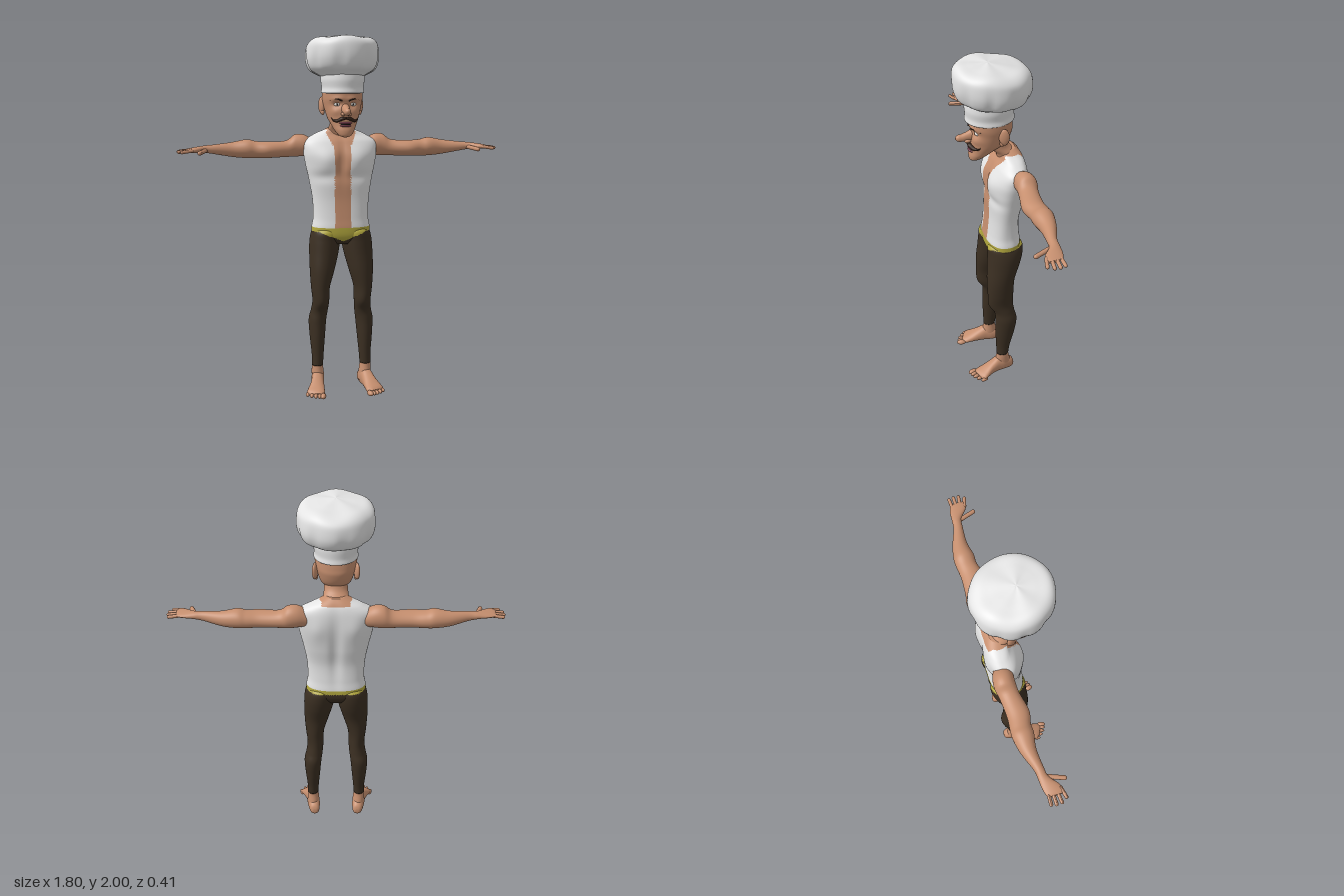
import * as THREE from 'three';

const mat = (name, color) => {
  const m = new THREE.MeshStandardMaterial({ color });
  m.name = name;
  return m;
};
const bump = (d, w) => Math.exp(-(d * d) / (w * w));

// Ring axes: along, u and v, ordered so that faces point outward
const AXES = { x: ['x', 'z', 'y'], y: ['y', 'x', 'z'], z: ['z', 'y', 'x'] };

// Smooth loft through sections [along, centreU, centreV, radiusU, radiusV];
// shape(p, angle) moves points, paint(centroid) picks a material index
function loft(axis, sections, { segs = 32, steps = 6, pow = 2, shape, paint } = {}) {
  const [A, U, V] = AXES[axis];
  const n = sections.length, rings = [];
  const at = (i) => sections[Math.min(n - 1, Math.max(0, i))];
  for (let i = 0; i < n - 1; i++)
    for (let s = 0; s < steps + (i === n - 2 ? 1 : 0); s++) {
      const t = s / steps;
      rings.push(at(i).map((b, k) => {
        const a = at(i - 1)[k], c = at(i + 1)[k], d = at(i + 2)[k];
        return b + 0.5 * t * (c - a + t * (2 * a - 5 * b + 4 * c - d + t * (3 * (b - c) + d - a)));
      }));
    }
  const pts = [];
  const se = (v) => Math.sign(v) * Math.abs(v) ** (2 / pow);
  for (const [t, cu, cv, ru, rv] of rings)
    for (let j = 0; j < segs; j++) {
      const a = (j / segs) * Math.PI * 2, p = new THREE.Vector3();
      p[A] = t; p[U] = cu + ru * se(Math.cos(a)); p[V] = cv + rv * se(Math.sin(a));
      if (shape) shape(p, a);
      pts.push(p);
    }
  const last = (rings.length - 1) * segs, tris = [];
  for (let i = 0; i < rings.length - 1; i++)
    for (let j = 0; j < segs; j++) {
      const a = i * segs + j, b = i * segs + (j + 1) % segs;
      tris.push([a, a + segs, b], [b, a + segs, b + segs]);
    }
  // End caps
  for (const start of [0, last]) {
    const c = new THREE.Vector3();
    for (let j = 0; j < segs; j++) c.addScaledVector(pts[start + j], 1 / segs);
    const k = pts.push(c) - 1;
    for (let j = 0; j < segs; j++) {
      const a = start + j, b = start + (j + 1) % segs;
      tris.push(start ? [a, k, b] : [a, b, k]);
    }
  }
  const g = new THREE.BufferGeometry().setFromPoints(pts);
  if (!paint) g.setIndex(tris.flat());
  else {
    const buckets = [];
    for (const t of tris) {
      const c = new THREE.Vector3();
      t.forEach((i) => c.addScaledVector(pts[i], 1 / 3));
      (buckets[paint(c)] ??= []).push(...t);
    }
    let from = 0;
    buckets.forEach((b, i) => { g.addGroup(from, b.length, i); from += b.length; });
    g.setIndex(buckets.flat());
  }
  g.computeVertexNormals();
  return g;
}

function ball(x, y, z, rx, ry, rz, turnY = 0) {
  return new THREE.SphereGeometry(1, 20, 14).scale(rx, ry, rz).rotateY(turnY).translate(x, y, z);
}

// Rounded rod between two points
function rod(a, b, r) {
  const p = new THREE.Vector3(...a), q = new THREE.Vector3(...b), d = q.clone().sub(p);
  const turn = new THREE.Quaternion().setFromUnitVectors(new THREE.Vector3(0, 1, 0), d.clone().normalize());
  return new THREE.CapsuleGeometry(r, d.length(), 5, 12).applyQuaternion(turn)
    .translate(...p.add(q).multiplyScalar(0.5).toArray());
}

function mirrored(g) {
  const m = g.clone().scale(-1, 1, 1), ix = m.index.array;
  for (let i = 0; i < ix.length; i += 3) [ix[i], ix[i + 1]] = [ix[i + 1], ix[i]];
  m.computeVertexNormals();
  return m;
}

export function createModel() {
  const group = new THREE.Group();
  const skin = mat('skin', 0xc68f6f), white = mat('white cloth', 0xe4e4e4);
  const trousers = mat('dark trousers', 0x3b2f22), sash = mat('yellow sash', 0xb3a83e);
  const hair = mat('dark hair', 0x35231a), lip = mat('lips', 0xa2566a);
  const eyeWhite = mat('eye white', 0xe9e6e0), iris = mat('iris', 0x2a211c);
  const clothes = [trousers, sash, white, skin];

  const add = (name, g, m) => {
    const mesh = new THREE.Mesh(g, m);
    mesh.name = name;
    group.add(mesh);
  };
  const pair = (name, g, m) => {
    add(name + 'Left', g, m);
    add(name + 'Right', mirrored(g), m);
  };

  // Clothing boundaries: trousers, sash with a front point, open vest, bare chest
  const paint = ({ x, y, z }) => {
    const ax = Math.abs(x), front = z > -0.045;
    if (y < 0.922 - (front ? 0.055 * Math.max(0, 1 - ax / 0.13) : 0)) return 0;
    if (y < 0.946) return 1;
    if (front && ax < 0.045 + Math.max(0, y - 1.39) * 0.5) return 3;
    return y > 1.487 || (y > 1.472 && ax < 0.075) ? 3 : 2;
  };

  // Torso with chest, breastbone, spine and shoulder blades
  add('torso', loft('y', [
    [0.85, 0, -0.045, 0.1, 0.07], [0.89, 0, -0.046, 0.16, 0.094], [0.94, 0, -0.046, 0.165, 0.097],
    [1.0, 0, -0.046, 0.156, 0.09], [1.1, 0, -0.048, 0.16, 0.084], [1.2, 0, -0.056, 0.176, 0.093],
    [1.29, 0, -0.063, 0.195, 0.097], [1.36, 0, -0.068, 0.206, 0.096], [1.42, 0, -0.08, 0.202, 0.082],
    [1.46, 0, -0.09, 0.145, 0.064], [1.485, 0, -0.085, 0.09, 0.055], [1.505, 0, -0.075, 0.05, 0.045],
  ], {
    segs: 112, steps: 10, pow: 2.4, paint,
    shape: (p) => {
      const ax = Math.abs(p.x), y = p.y;
      if (p.z > -0.05) {
        p.z += 0.014 * bump(ax - 0.085, 0.06) * bump(y - 1.32, 0.06);
        p.z -= 0.012 * bump(ax, 0.02) * bump(y - 1.32, 0.1);
        p.z -= 0.008 * bump(y - 1.23, 0.03) * bump(ax - 0.1, 0.08);
      } else {
        p.z += 0.014 * bump(ax, 0.03) * bump(y - 1.2, 0.2);
        p.z -= 0.01 * bump(ax - 0.1, 0.05) * bump(y - 1.34, 0.07);
      }
    },
  }), clothes);

  // Legs
  pair('leg', loft('y', [
    [0.138, 0.14, -0.021, 0.032, 0.036], [0.2, 0.138, -0.025, 0.034, 0.042], [0.3, 0.138, -0.035, 0.043, 0.056],
    [0.4, 0.136, -0.043, 0.05, 0.063], [0.46, 0.126, -0.034, 0.048, 0.06], [0.52, 0.12, -0.014, 0.047, 0.073],
    [0.6, 0.122, -0.012, 0.053, 0.076], [0.7, 0.111, -0.016, 0.07, 0.081], [0.8, 0.098, -0.036, 0.083, 0.094],
    [0.87, 0.091, -0.046, 0.086, 0.1], [0.92, 0.085, -0.047, 0.079, 0.098], [0.945, 0.08, -0.046, 0.06, 0.07],
  ], { segs: 48, steps: 8, paint }), clothes);

  // Bare feet, ankles and toes
  pair('ankle', loft('y', [
    [0.03, 0.136, -0.03, 0.034, 0.046], [0.08, 0.138, -0.023, 0.035, 0.044],
    [0.12, 0.14, -0.021, 0.033, 0.037], [0.15, 0.14, -0.021, 0.03, 0.034],
  ]), skin);
  pair('foot', loft('z', [
    [-0.092, 0.032, 0.13, 0.012, 0.012], [-0.078, 0.036, 0.131, 0.034, 0.028], [-0.03, 0.05, 0.137, 0.05, 0.037],
    [0.01, 0.052, 0.143, 0.052, 0.036], [0.05, 0.041, 0.151, 0.041, 0.039], [0.1, 0.027, 0.163, 0.027, 0.047],
    [0.135, 0.019, 0.17, 0.019, 0.049], [0.155, 0.016, 0.168, 0.01, 0.034],
  ], { pow: 2.3, shape: (p) => { p.z -= Math.max(0, p.z - 0.05) * Math.max(0, p.x - 0.15) * 4; } }), skin);
  for (let i = 0; i < 5; i++)
    pair('toe' + (i + 1), ball(0.134 + i * 0.02, 0.015 - i * 0.001, 0.166 - i * i * 0.0033,
      i ? 0.011 : 0.016, i ? 0.012 : 0.015, i ? 0.023 : 0.027, 0.25), skin);

  // Arms running into the palms
  pair('arm', loft('x', [
    [0.15, -0.1, 1.385, 0.045, 0.045], [0.2, -0.107, 1.398, 0.055, 0.06], [0.25, -0.11, 1.396, 0.056, 0.062],
    [0.3, -0.103, 1.38, 0.053, 0.046], [0.4, -0.09, 1.376, 0.059, 0.045], [0.47, -0.1, 1.378, 0.055, 0.047],
    [0.52, -0.101, 1.383, 0.056, 0.052], [0.6, -0.1, 1.38, 0.041, 0.041], [0.7, -0.08, 1.384, 0.026, 0.026],
    [0.75, -0.073, 1.386, 0.027, 0.02], [0.8, -0.052, 1.384, 0.044, 0.016], [0.835, -0.042, 1.382, 0.045, 0.012],
    [0.85, -0.04, 1.381, 0.034, 0.007],
  ], { segs: 32 }), skin);
  [[-0.077, 0.886], [-0.051, 0.892], [-0.023, 0.89], [0.006, 0.872]].forEach(([z, x], i) =>
    pair('finger' + (i + 1), rod([0.82, 1.383, z * 0.8 - 0.012], [x, 1.376, z], 0.0095), skin));
  pair('thumb', rod([0.745, 1.38, -0.06], [0.779, 1.372, 0.028], 0.012), skin);

  // Neck and head
  add('neck', loft('y', [
    [1.43, 0, -0.085, 0.08, 0.055], [1.48, 0, -0.072, 0.07, 0.058], [1.53, 0, -0.022, 0.062, 0.056],
    [1.6, 0, 0, 0.06, 0.06],
  ]), skin);
  add('head', loft('y', [
    [1.455, 0, 0.105, 0.012, 0.012], [1.465, 0, 0.098, 0.034, 0.03], [1.49, 0, 0.078, 0.053, 0.052],
    [1.52, 0, 0.054, 0.068, 0.07], [1.56, 0, 0.024, 0.086, 0.098], [1.62, 0, 0.01, 0.102, 0.11],
    [1.66, 0, 0.01, 0.11, 0.111], [1.72, 0, 0.015, 0.111, 0.11],
  ], {
    segs: 56, steps: 8, pow: 2.15,
    shape: (p) => {
      if (p.z < 0.03) return;
      const ax = Math.abs(p.x);
      p.z -= 0.014 * bump(ax - 0.042, 0.024) * bump(p.y - 1.63, 0.018);
      p.z += 0.008 * bump(ax - 0.04, 0.04) * bump(p.y - 1.66, 0.015);
      p.z += 0.007 * bump(ax - 0.06, 0.025) * bump(p.y - 1.59, 0.02);
    },
  }), skin);
  add('nose', loft('z', [
    [0.09, 1.61, 0, 0.042, 0.026], [0.13, 1.6, 0, 0.028, 0.021], [0.165, 1.594, 0, 0.021, 0.019],
    [0.188, 1.594, 0, 0.017, 0.016], [0.2, 1.595, 0, 0.005, 0.005],
  ]), skin);
  pair('nostril', ball(0.017, 1.58, 0.138, 0.012, 0.011, 0.018), skin);
  pair('ear', ball(0.109, 1.623, -0.03, 0.014, 0.047, 0.028, -0.35), skin);
  pair('earLobe', ball(0.104, 1.585, -0.02, 0.01, 0.016, 0.013), skin);

  // Eyes, brows, moustache and mouth
  pair('eye', ball(0.043, 1.631, 0.094, 0.019, 0.011, 0.014, 0.3), eyeWhite);
  pair('iris', ball(0.043, 1.631, 0.106, 0.005, 0.006, 0.004), iris);
  pair('eyebrow', loft('x', [
    [0.018, 0.124, 1.65, 0.004, 0.004], [0.05, 0.112, 1.661, 0.007, 0.005], [0.084, 0.085, 1.652, 0.003, 0.002],
  ], { segs: 12 }), hair);
  pair('moustache', loft('x', [
    [0, 0.131, 1.558, 0.01, 0.006], [0.025, 0.128, 1.554, 0.012, 0.01], [0.048, 0.113, 1.543, 0.01, 0.008],
    [0.066, 0.095, 1.547, 0.007, 0.005], [0.075, 0.088, 1.56, 0.002, 0.002],
  ], { segs: 14 }), hair);
  add('upperLip', ball(0, 1.532, 0.115, 0.036, 0.007, 0.019), lip);
  add('mouth', ball(0, 1.525, 0.114, 0.031, 0.006, 0.015), iris);
  add('lowerLip', ball(0, 1.517, 0.115, 0.031, 0.008, 0.019), lip);

  // Cook's hat: band and puffed crown with soft folds
  add('hatBand', loft('y', [
    [1.69, 0, 0.017, 0.108, 0.12], [1.693, 0, 0.017, 0.117, 0.131], [1.72, 0, 0.017, 0.114, 0.128],
    [1.76, 0, 0.017, 0.12, 0.131], [1.8, 0, 0.015, 0.118, 0.128],
  ], { segs: 48 }), white);
  add('hatCrown', loft('y', [
    [1.775, 0, 0.016, 0.112, 0.122], [1.79, 0, 0.012, 0.142, 0.147], [1.815, 0, 0.006, 0.181, 0.184],
    [1.86, 0, 0.003, 0.199, 0.203], [1.91, 0, 0.004, 0.2, 0.205], [1.95, 0, 0.006, 0.19, 0.195],
    [1.975, 0, 0.01, 0.16, 0.165], [1.984, 0, 0.014, 0.11, 0.11], [1.991, 0, 0.02, 0.05, 0.05],
    [1.997, 0, 0.025, 0.008, 0.008],
  ], {
    segs: 96, steps: 6,
    shape: (p, a) => {
      const fold = Math.cos(9 * a + 0.8 * Math.sin(2 * a)) * bump(p.y - 1.84, 0.07);
      const k = 1 + 0.022 * fold - 0.012 * Math.abs(fold);
      p.x *= k; p.z *= k;
      const r = Math.hypot(p.x, p.z) / 0.2;
      p.y += 0.07 * p.z + 0.005 * r * Math.sin(5 * a) * bump(p.y - 1.98, 0.04);
    },
  }), white);

  return group;
}
